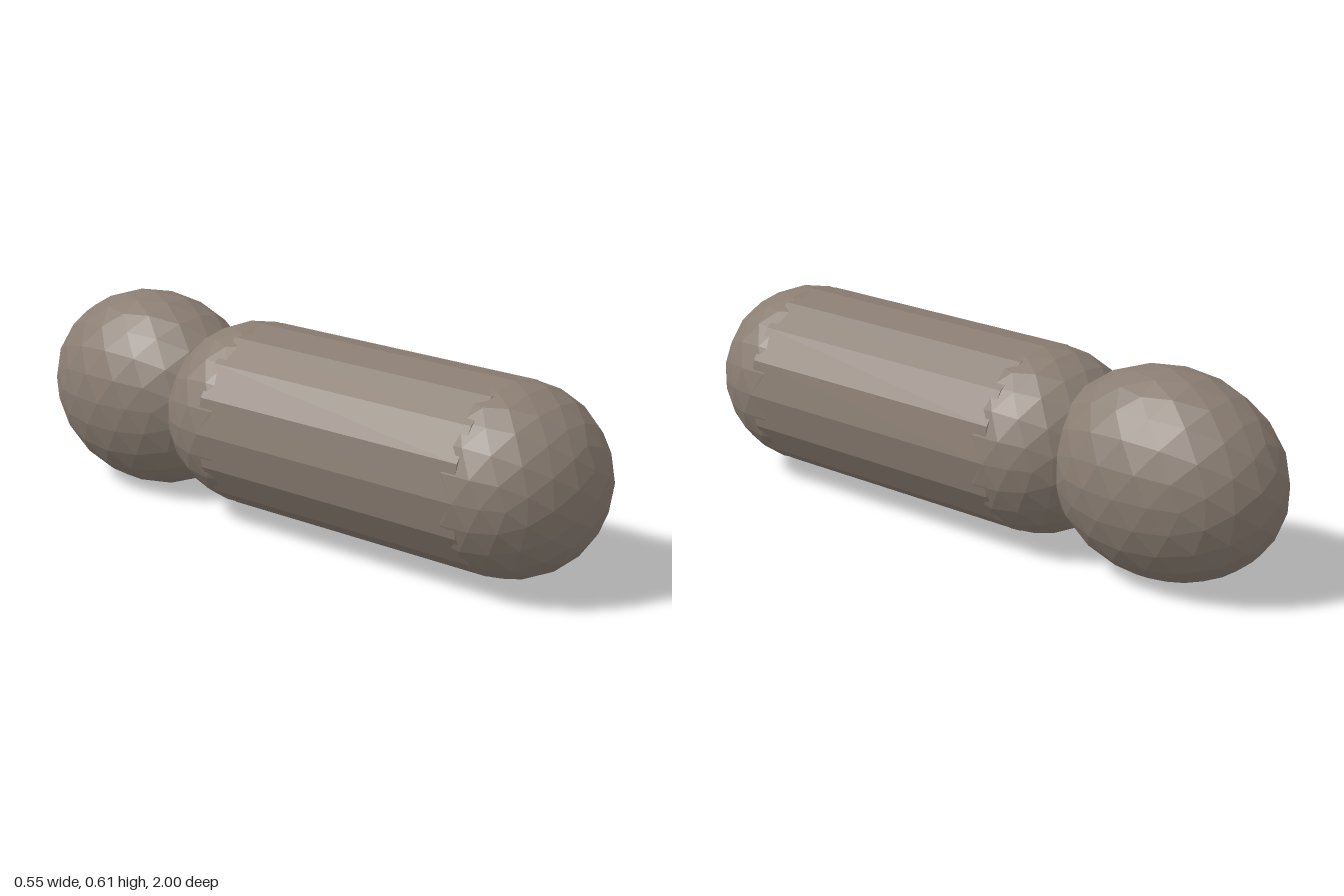
import * as THREE from 'three';

const CENTER_Y = 0.306;
const RADIUS = 0.277;
const FRONT_Z = 0.723;
const REAR_Z = -0.2;

export function createModel() {
  const group = new THREE.Group();
  group.name = 'larva';
  const material = new THREE.MeshStandardMaterial({ color: 0x8a7d72, flatShading: true });

  const add = (name, geometry, z) => {
    const mesh = new THREE.Mesh(geometry, material);
    mesh.name = name;
    mesh.position.set(0, CENTER_Y, z);
    group.add(mesh);
  };
  // Faceted ball, stretched per axis
  const ball = (rx, ry, rz) => new THREE.IcosahedronGeometry(1, 3).scale(rx, ry, rz);

  // Long sixteen-sided body lying along z
  const body = new THREE.CylinderGeometry(RADIUS, RADIUS, FRONT_Z - REAR_Z, 16).rotateX(Math.PI / 2);
  add('body', body, (FRONT_Z + REAR_Z) / 2);

  // Rounded ends of the body
  add('frontEnd', ball(RADIUS, RADIUS, RADIUS), FRONT_Z);
  add('rearEnd', ball(RADIUS, RADIUS, RADIUS), REAR_Z);

  // Egg-shaped bulb overlapping the rear end
  add('rearBulb', ball(0.257, 0.304, 0.365), -0.635);

  return group;
}
